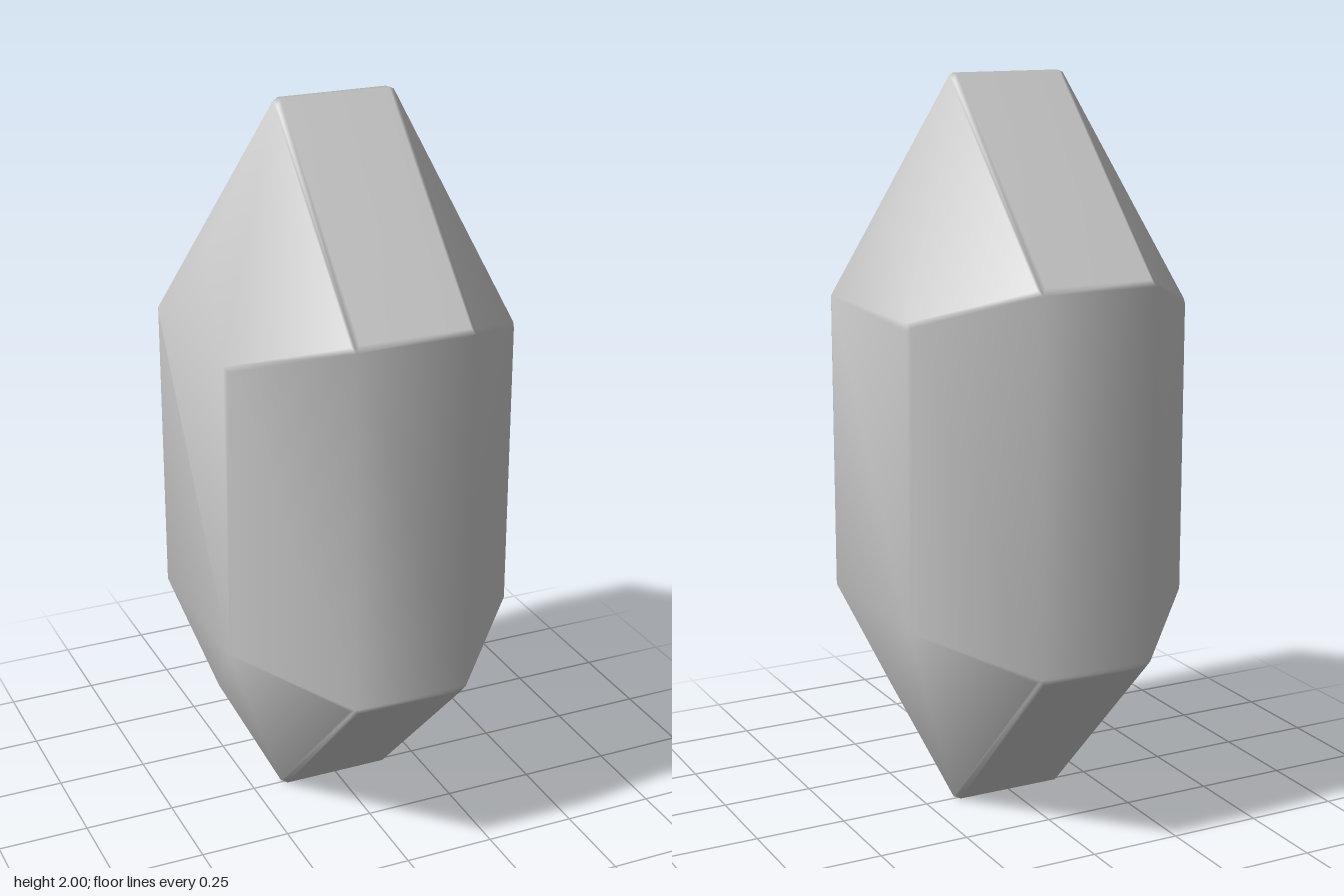
import * as THREE from 'three';
import { ConvexGeometry } from 'three/addons/geometries/ConvexGeometry.js';
import { mergeVertices } from 'three/addons/utils/BufferGeometryUtils.js';

// Corners of one octant of the crystal, measured from its centre and inset by the bevel
const CORNERS = [
  [0.15, 0.983, 0],      // end of the tip ridge
  [0.332, 0.627, 0],     // shoulder on the side
  [0.389, 0.395, 0.241], // rim of the side facet
  [0.15, 0.492, 0.484],  // rim of the front facet
];

// A small rounding body placed on every corner gives the hull narrow bevels
function bevelPoints(radius) {
  const pos = new THREE.IcosahedronGeometry(radius, 0).rotateY(Math.PI / 2).getAttribute('position');
  const unique = new Map();
  for (let i = 0; i < pos.count; i++) {
    const p = new THREE.Vector3().fromBufferAttribute(pos, i);
    unique.set(p.toArray().map((v) => Math.round(v * 1e4)).join(), p);
  }
  return [...unique.values()];
}

export function createModel() {
  const group = new THREE.Group();
  group.name = 'crystal';

  // Mirror the corners into all octants
  const bevel = bevelPoints(0.02);
  const points = [];
  for (const [x, y, z] of CORNERS) {
    for (const sx of [-1, 1]) for (const sy of [-1, 1]) for (const sz of z ? [-1, 1] : [1]) {
      const corner = new THREE.Vector3(x * sx, 1 + y * sy, z * sz);
      for (const b of bevel) points.push(corner.clone().add(b));
    }
  }

  // Area-weighted smooth normals keep the large facets flat and soften the bevels
  const hull = new ConvexGeometry(points);
  hull.deleteAttribute('normal');
  const geometry = mergeVertices(hull, 1e-5);
  geometry.computeVertexNormals();

  const body = new THREE.Mesh(geometry, new THREE.MeshStandardMaterial({ color: 0xcccccc }));
  body.name = 'crystalBody';
  group.add(body);
  return group;
}
